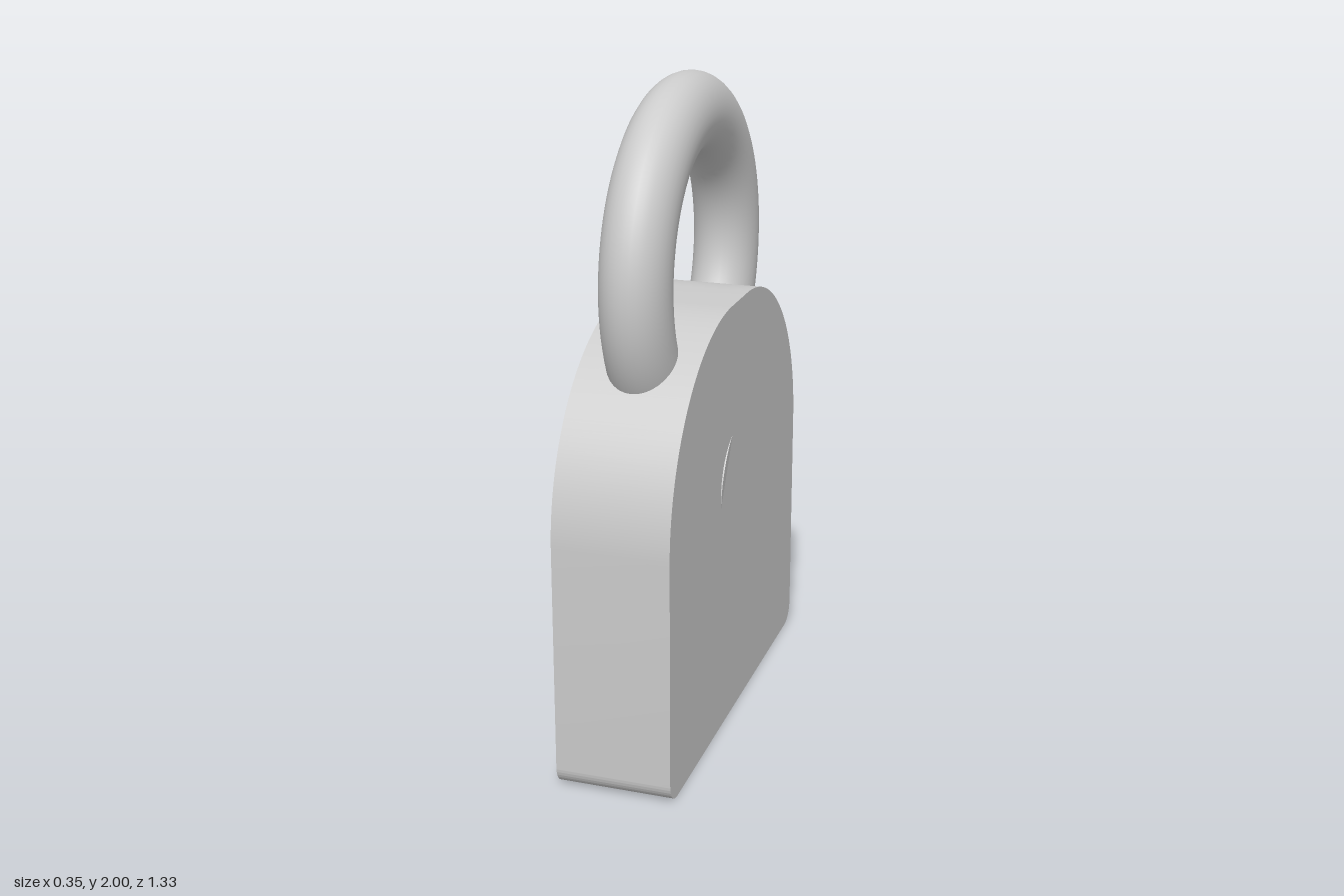
import * as THREE from 'three';
import { toCreasedNormals } from 'three/addons/utils/BufferGeometryUtils.js';

const material = new THREE.MeshStandardMaterial({ color: 0xcccccc });

// Extrudes a side-on outline along x, centred on x = 0
function sideExtrude(shape, width) {
  const geometry = new THREE.ExtrudeGeometry(shape, { depth: width, bevelEnabled: false, curveSegments: 32 });
  geometry.translate(0, 0, -width / 2);
  geometry.rotateY(Math.PI / 2);
  return toCreasedNormals(geometry, 0.6);
}

function addMesh(group, name, geometry) {
  const mesh = new THREE.Mesh(geometry, material);
  mesh.name = name;
  group.add(mesh);
  return mesh;
}

export function createModel() {
  const group = new THREE.Group();
  group.name = 'padlock';

  // Body: flat slab with a domed top and small rounded bottom corners
  const half = 0.665, corner = 0.065, dome = 0.585, shoulder = 0.75;
  const outline = new THREE.Shape();
  outline.moveTo(-half + corner, 0);
  outline.lineTo(half - corner, 0);
  outline.absarc(half - corner, corner, corner, -Math.PI / 2, 0, false);
  outline.absarc(half - dome, shoulder, dome, 0, Math.PI / 2, false);
  outline.absarc(-half + dome, shoulder, dome, Math.PI / 2, Math.PI, false);
  outline.absarc(-half + corner, corner, corner, Math.PI, Math.PI * 1.5, false);
  addMesh(group, 'body', sideExtrude(outline, 0.35)).position.x = -0.002;

  // Shackle: ring sunk into the dome, slightly narrower in x
  const ring = new THREE.TorusGeometry(0.435, 0.12, 32, 96);
  ring.rotateY(Math.PI / 2);
  ring.scale(0.85, 1, 1);
  addMesh(group, 'shackle', ring).position.y = 1.445;

  // Keyhole plate: tilted so only a sliver of its round end breaks the face
  const r = 0.175, slot = 0.09;
  const start = Math.asin(slot / r) - Math.PI / 2;
  const hole = new THREE.Shape();
  hole.moveTo(-slot, -0.36);
  hole.lineTo(slot, -0.36);
  hole.absarc(0, 0, r, start, Math.PI - start, false);
  hole.closePath();
  const plate = addMesh(group, 'keyholePlate', sideExtrude(hole, 0.04));
  plate.position.set(0.14, 0.765, 0.01);
  plate.quaternion.setFromUnitVectors(
    new THREE.Vector3(1, 0, 0),
    new THREE.Vector3(1, -0.051, -0.086).normalize()
  );

  return group;
}
